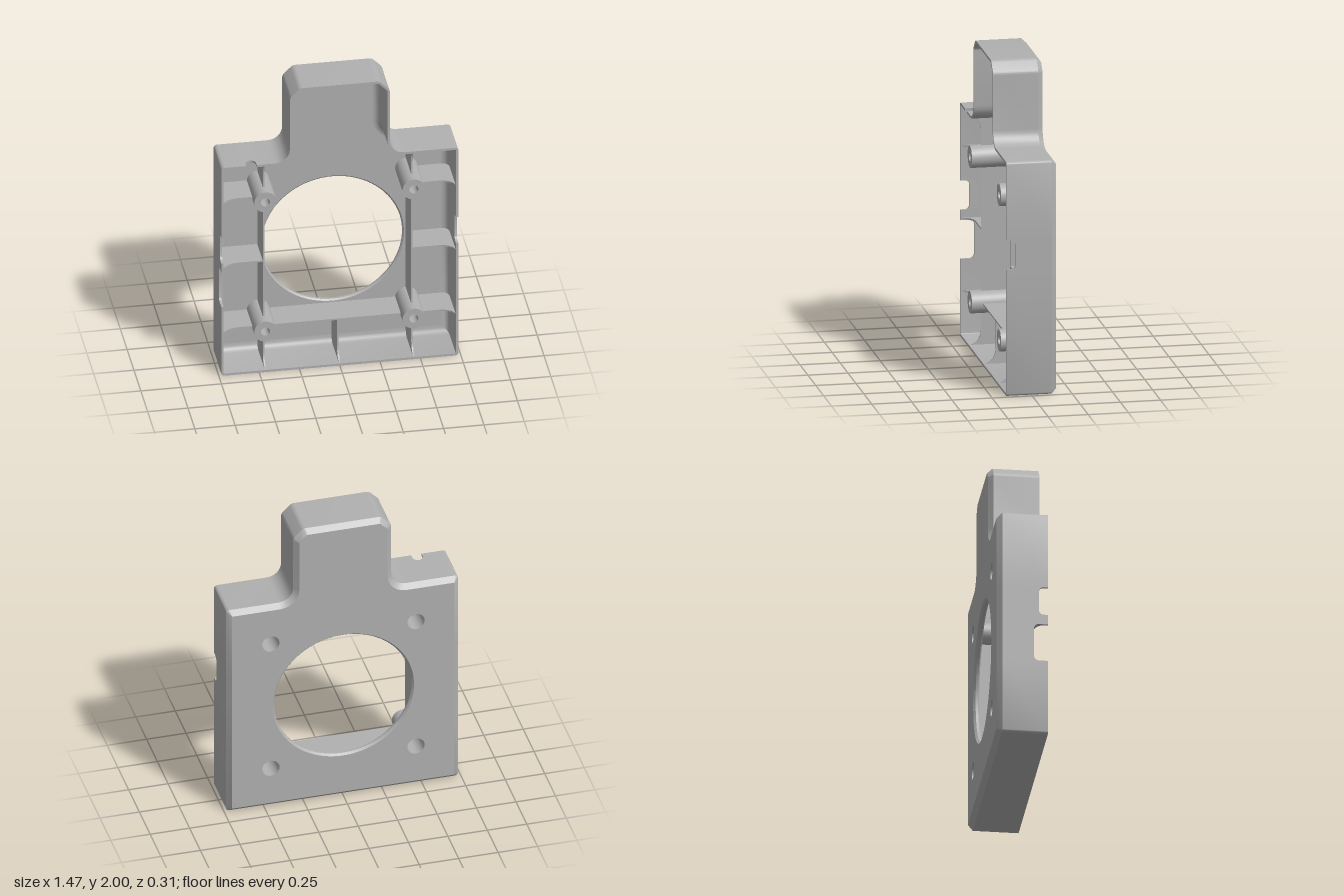
import * as THREE from 'three';
import { toCreasedNormals } from 'three/addons/utils/BufferGeometryUtils.js';

const FRONT = 0.157, BACK = -0.157, FLOOR = -0.12, WALL = 0.015;
const HOLE_Y = 0.745, BOSS_X = 0.46, BOSS_Y = [0.285, 1.205];

// Housing outline, counter-clockwise: x, y, corner radius, 1 if the corner is concave
const CORNERS = [
  [-0.735, 0, 0.02], [0.735, 0, 0.02], [0.735, 1.48, 0.02], [0.31, 1.48, 0.09, 1], [0.31, 1.935, 0.04],
  [0.245, 2, 0.04], [-0.245, 2, 0.04], [-0.31, 1.935, 0.04], [-0.31, 1.48, 0.09, 1], [-0.735, 1.48, 0.02],
];

// Cable notch in the rim: pairs of position along the edge and rim height
function notch(lo, hi, z, r) {
  const pts = [[lo, FRONT]];
  for (let i = 0; i <= 5; i++) {
    const a = i / 5 * Math.PI / 2;
    pts.push([lo + r - r * Math.cos(a), z + r - r * Math.sin(a)]);
  }
  for (let i = 0; i <= 5; i++) {
    const a = i / 5 * Math.PI / 2;
    pts.push([hi - r + r * Math.sin(a), z + r - r * Math.cos(a)]);
  }
  pts.push([hi, FRONT]);
  return pts;
}
// Notches by the corner that starts their edge
const NOTCHES = {
  1: notch(0.8, 0.985, 0.1, 0.03),
  8: notch(-0.58, -0.515, 0.095, 0.0325).reverse(),
  9: [...notch(0.49, 0.735, 0.07, 0.03), ...notch(0.8, 0.985, 0.1, 0.03)].reverse(),
};

// Outline moved inwards by d with rounded corners; z carries the rim height
function outline(d, withNotches = true) {
  const n = CORNERS.length, P = CORNERS.map(c => new THREE.Vector2(c[0], c[1]));
  const dir = P.map((p, i) => P[(i + 1) % n].clone().sub(p).normalize());
  const moved = P.map((p, i) => {
    const a = dir[(i + n - 1) % n], b = dir[i];
    const k = d / (1 + a.dot(b));
    return new THREE.Vector2(p.x - (a.y + b.y) * k, p.y + (a.x + b.x) * k);
  });
  const pts = [];
  CORNERS.forEach(([, , r0, concave], i) => {
    const a = dir[(i + n - 1) % n], b = dir[i], s = concave ? -1 : 1;
    const r = Math.max(r0 + (concave ? d : -d), 0.001);
    const turn = Math.atan2(a.x * b.y - a.y * b.x, a.dot(b));
    const k = s * r / (1 + a.dot(b));
    const cx = moved[i].x - (a.y + b.y) * k, cy = moved[i].y + (a.x + b.x) * k;
    const start = Math.atan2(-a.x * s, a.y * s);
    for (let j = 0; j <= 6; j++) {
      const t = start + turn * j / 6;
      pts.push(new THREE.Vector3(cx + r * Math.cos(t), cy + r * Math.sin(t), FRONT));
    }
    if (withNotches) for (const [u, z] of NOTCHES[i] || []) {
      pts.push(i === 8 ? new THREE.Vector3(u, moved[i].y, z) : new THREE.Vector3(moved[i].x, u, z));
    }
  });
  return pts;
}

// Skin between successive closed rings
function skin(rings) {
  const pos = [];
  for (let k = 0; k + 1 < rings.length; k++) {
    const A = rings[k], B = rings[k + 1];
    for (let i = 0; i < A.length; i++) {
      const j = (i + 1) % A.length;
      for (const p of [A[i], A[j], B[j], A[i], B[j], B[i]]) pos.push(p.x, p.y, p.z);
    }
  }
  const g = new THREE.BufferGeometry();
  g.setAttribute('position', new THREE.Float32BufferAttribute(pos, 3));
  return toCreasedNormals(g, 0.5);
}

function circle(x, y, r, n) {
  const pts = [];
  for (let i = 0; i < n; i++) {
    const a = i / n * Math.PI * 2;
    pts.push(new THREE.Vector2(x + r * Math.cos(a), y + r * Math.sin(a)));
  }
  return new THREE.Path(pts);
}

// Flat panel with the large opening and four screw holes
function panel(d, openingR, screwR) {
  const shape = new THREE.Shape(outline(d, false).map(p => new THREE.Vector2(p.x, p.y)));
  shape.holes.push(circle(0, HOLE_Y, openingR, 96));
  for (const x of [-BOSS_X, BOSS_X]) for (const y of BOSS_Y) shape.holes.push(circle(x, y, screwR, 32));
  return new THREE.ShapeGeometry(shape);
}

function turned(profile, segments) {
  const g = new THREE.LatheGeometry(profile.map(p => new THREE.Vector2(...p)), segments);
  return toCreasedNormals(g.rotateX(Math.PI / 2), 0.5);
}

// Upright rib between two points; a rib that meets a wall sweeps up to it
function rib(x0, y0, x1, y1, meetsWall) {
  const u = new THREE.Vector3(x1 - x0, y1 - y0, 0), L = u.length(), t = 0.01, top = 0.08;
  const s = new THREE.Shape();
  s.moveTo(0, FLOOR - 0.01);
  s.lineTo(L, FLOOR - 0.01);
  if (meetsWall) {
    s.lineTo(L, 0.145);
    s.quadraticCurveTo(L - 0.02, top, L - 0.1, top);
  } else s.lineTo(L, top);
  s.lineTo(0, top);
  const g = new THREE.ExtrudeGeometry(s, { depth: t, bevelEnabled: false, curveSegments: 8 });
  g.translate(0, 0, -t / 2);
  const z = new THREE.Vector3(0, 0, 1);
  u.normalize();
  const m = new THREE.Matrix4().makeBasis(u, z, u.clone().cross(z));
  m.setPosition(x0, y0, 0);
  return g.applyMatrix4(m);
}

export function createModel() {
  const model = new THREE.Group();
  model.name = 'housing';
  const grey = new THREE.MeshStandardMaterial({ color: 0xb0b0b0 });
  grey.name = 'grey plastic';
  const add = (name, geometry, x = 0, y = 0, z = 0) => {
    const mesh = new THREE.Mesh(geometry, grey);
    mesh.name = name;
    mesh.position.set(x, y, z);
    model.add(mesh);
  };

  // Walls: back chamfer, outside, notched rim, inside, rounded foot
  const at = (d, z) => outline(d).map(p => p.setZ(z));
  const rings = [at(0.03, BACK), at(0, -0.125), outline(0), outline(WALL)];
  const R = 0.045;
  for (let i = 0; i <= 6; i++) {
    const a = i / 6 * Math.PI / 2;
    rings.push(at(WALL + R - R * Math.cos(a), FLOOR + R - R * Math.sin(a)));
  }
  add('walls', skin(rings));

  // Floor, back face and the bevelled edge of the large opening
  add('floor', panel(WALL + R, 0.445, 0.06), 0, 0, FLOOR);
  add('backFace', panel(0.03, 0.447, 0.055).rotateY(Math.PI), 0, 0, BACK);
  add('openingEdge', turned([[0.445, FLOOR], [0.436, -0.128], [0.436, -0.143], [0.447, BACK]], 96), 0, HOLE_Y);

  // Screw bosses, counterbored from the back
  const bossProfile = [[0.07, FLOOR - 0.01], [0.07, 0.15], [0.028, 0.15], [0.028, 0.09], [0.055, 0.09], [0.055, BACK]];
  for (const x of [-BOSS_X, BOSS_X]) for (const y of BOSS_Y) add('screwBoss', turned(bossProfile, 32), x, y);

  // Stiffening ribs, mirrored left and right
  const gap = 0.064, [low, high] = BOSS_Y, wallX = 0.735 - WALL;
  for (const s of [-1, 1]) {
    const x = s * BOSS_X;
    add('frameRib', rib(x, low + gap, x, high - gap));
    add('topRib', rib(x, high + gap, x, 1.48 - WALL, true));
    add('bottomRib', rib(x, low - gap, x, WALL, true));
    for (const y of [low, high]) add('sideRib', rib(x + s * gap, y, s * wallX, y, true));
    add('middleSideRib', rib(x, HOLE_Y, s * wallX, HOLE_Y, true));
  }
  add('lowerFrameRib', rib(-BOSS_X + gap, low, BOSS_X - gap, low));
  add('middleBottomRib', rib(0, low, 0, WALL, true));

  return model;
}
